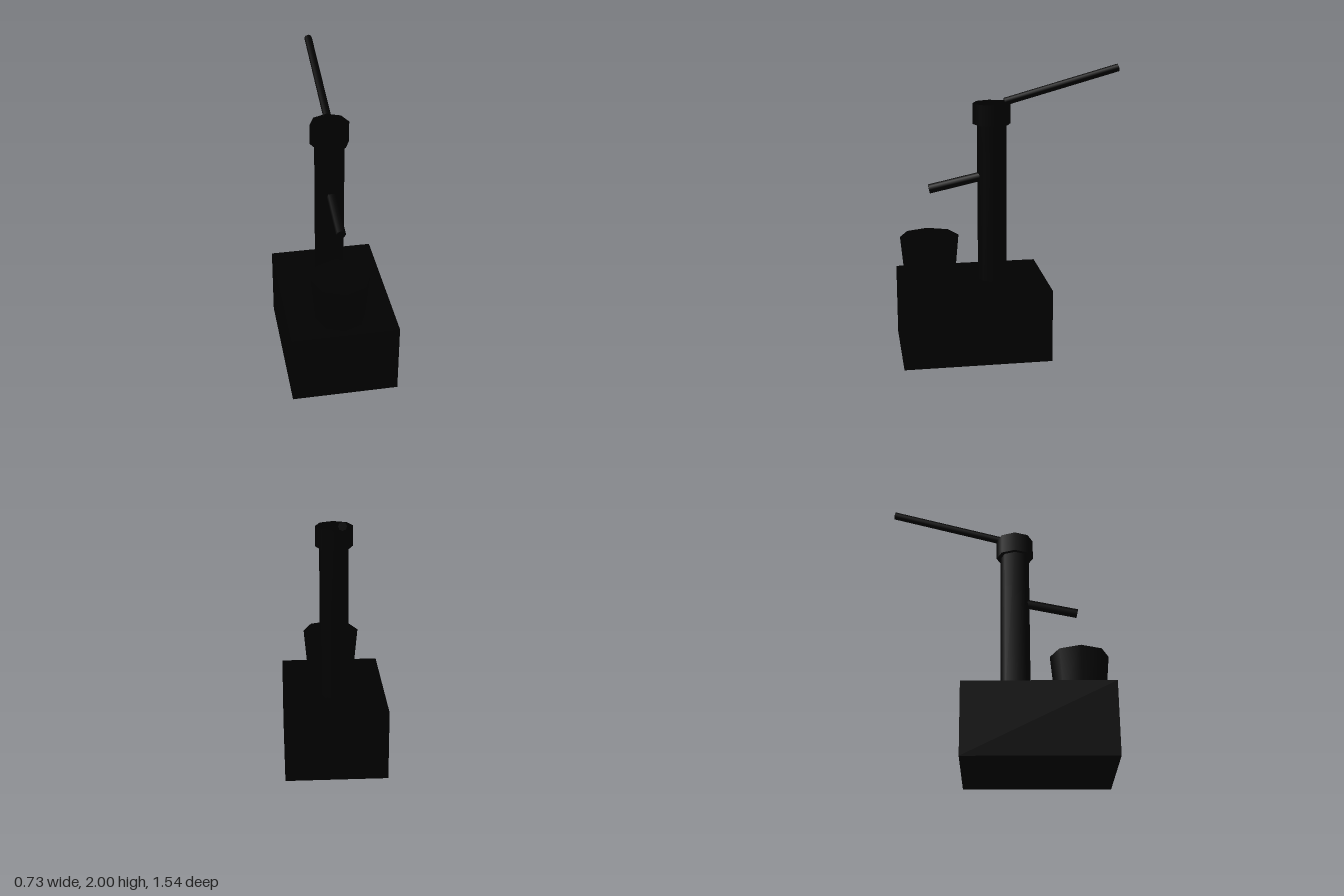
import * as THREE from 'three';

export function createModel() {
  const group = new THREE.Group();
  const black = new THREE.MeshStandardMaterial({ color: 0x000000 });
  black.name = 'black';

  function add(name, geometry) {
    const mesh = new THREE.Mesh(geometry, black);
    mesh.name = name;
    group.add(mesh);
    return mesh;
  }

  // Upright eight-sided cylinder between two heights
  function upright(name, rTop, rBottom, y0, y1, z) {
    const mesh = add(name, new THREE.CylinderGeometry(rTop, rBottom, y1 - y0, 8));
    mesh.position.set(0, (y0 + y1) / 2, z);
  }

  // Eight-sided rod between two points [y, z] in the middle plane
  function rod(name, radius, [y0, z0], [y1, z1]) {
    const length = Math.hypot(y1 - y0, z1 - z0);
    const mesh = add(name, new THREE.CylinderGeometry(radius, radius, length, 8));
    mesh.position.set(0, (y0 + y1) / 2, (z0 + z1) / 2);
    mesh.rotation.x = Math.atan2(z1 - z0, y1 - y0);
  }

  // Stone block the pump stands on
  const base = add('base', new THREE.BoxGeometry(0.73, 0.51, 1.02));
  base.position.set(0, 0.255, 0.26);

  // Pump body with its collar
  upright('column', 0.102, 0.102, 0.5, 1.62, 0.114);
  upright('cap', 0.131, 0.131, 1.61, 1.753, 0.114);

  // Bucket under the spout
  upright('bucket', 0.203, 0.173, 0.51, 0.835, 0.554);

  // Spout sloping down to the front, handle rising to the back
  rod('spout', 0.033, [1.261, 0.114], [1.168, 0.551]);
  rod('handle', 0.027, [1.757, 0.026], [1.974, -0.763]);

  return group;
}
